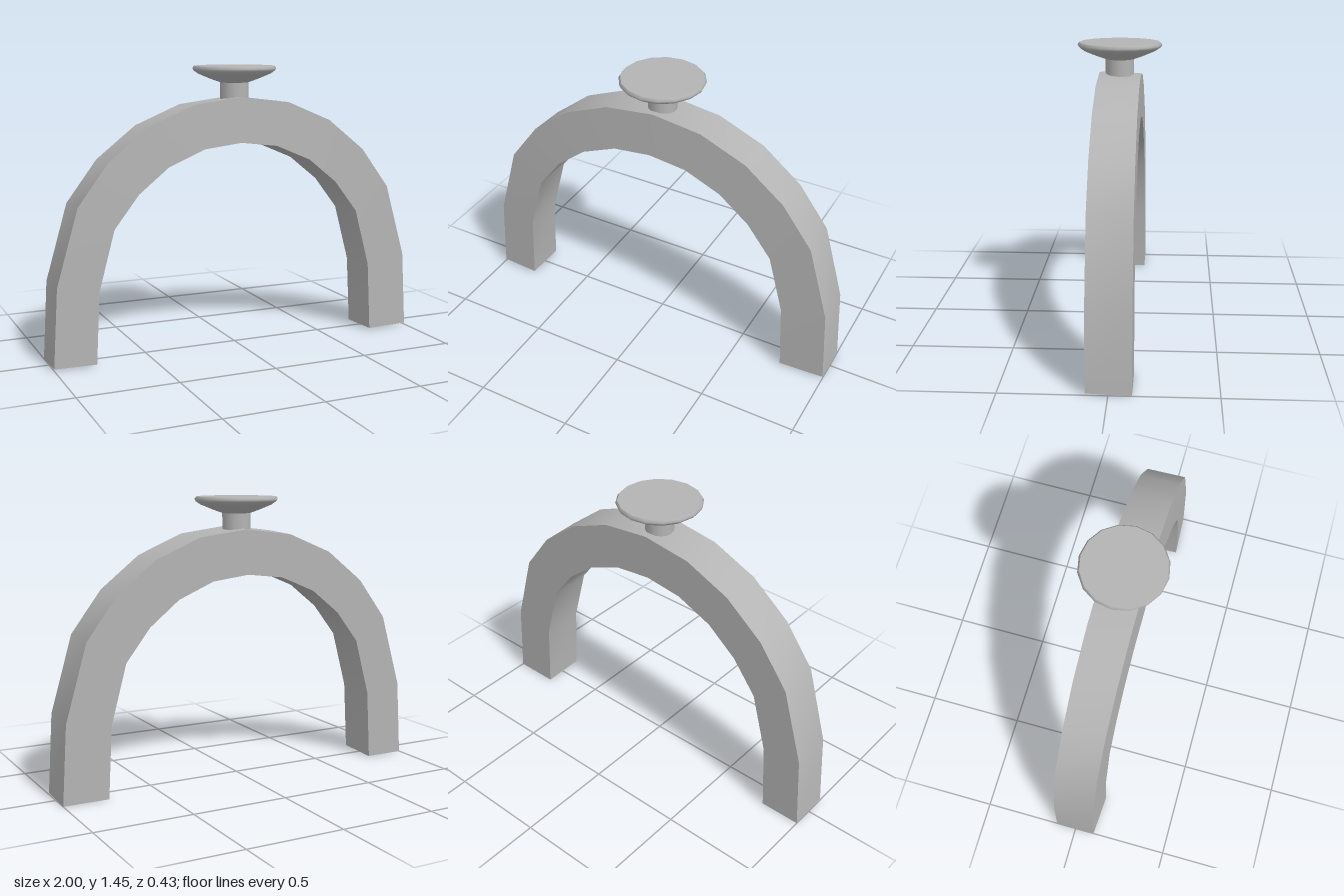
import * as THREE from 'three';

const grey = new THREE.MeshStandardMaterial({ color: 0xb4b4b4, side: THREE.DoubleSide });
grey.name = 'plain grey';

// Half outlines of the arch, from foot to crown
const OUTER = [[1, 0], [0.975, 0.4], [0.863, 0.785], [0.705, 0.995], [0.5, 1.157], [0.26, 1.257], [0, 1.29]];
const INNER = [[0.777, 0], [0.757, 0.363], [0.675, 0.665], [0.547, 0.83], [0.39, 0.956], [0.2, 1.036], [0, 1.06]];

// Full outline as one edge of the arch, from the left foot over to the right foot
function edge(half, shiftX, z, lift) {
  const mirrored = half.slice(0, -1).reverse().map(([x, y]) => [-x, y]);
  return [...half, ...mirrored].map(([x, y]) => [x + shiftX, y + lift, z]);
}

// Smooth strip of quads between two edges
function strip(name, a, b) {
  const position = [], index = [];
  a.forEach((p, i) => {
    position.push(...p, ...b[i]);
    if (i) {
      const k = 2 * (i - 1);
      index.push(k, k + 2, k + 1, k + 1, k + 2, k + 3);
    }
  });
  const geometry = new THREE.BufferGeometry();
  geometry.setAttribute('position', new THREE.Float32BufferAttribute(position, 3));
  geometry.setIndex(index);
  geometry.computeVertexNormals();
  return part(name, geometry);
}

function part(name, geometry, y = 0) {
  const mesh = new THREE.Mesh(geometry, grey);
  mesh.name = name;
  mesh.position.y = y;
  return mesh;
}

export function createModel() {
  const model = new THREE.Group();
  model.name = 'archHandle';

  // Hollow square arch with open feet, its front edges slightly raised
  const outerFront = edge(OUTER, 0, 0.104, 0.009);
  const innerFront = edge(INNER, -0.012, 0.117, 0.009);
  const innerBack = edge(INNER, -0.012, -0.107, 0);
  const outerBack = edge(OUTER, 0, -0.107, 0);
  const arch = new THREE.Group();
  arch.name = 'arch';
  arch.add(
    strip('archOuterSide', outerBack, outerFront),
    strip('archFront', outerFront, innerFront),
    strip('archInnerSide', innerFront, innerBack),
    strip('archBack', innerBack, outerBack),
  );

  // Round knob: stem, dished underside and flat top
  const knob = new THREE.Group();
  knob.name = 'knob';
  const dish = [[0.072, 1.368], [0.12, 1.385], [0.185, 1.412], [0.208, 1.428], [0.214, 1.44], [0.205, 1.452]]
    .map(([r, y]) => new THREE.Vector2(r, y));
  const top = new THREE.CircleGeometry(0.205, 16).rotateX(-Math.PI / 2);
  knob.add(
    part('knobStem', new THREE.CylinderGeometry(0.072, 0.072, 0.11, 16, 1, true), 1.32),
    part('knobDish', new THREE.LatheGeometry(dish, 16)),
    part('knobTop', top, 1.452),
  );

  model.add(arch, knob);
  return model;
}
